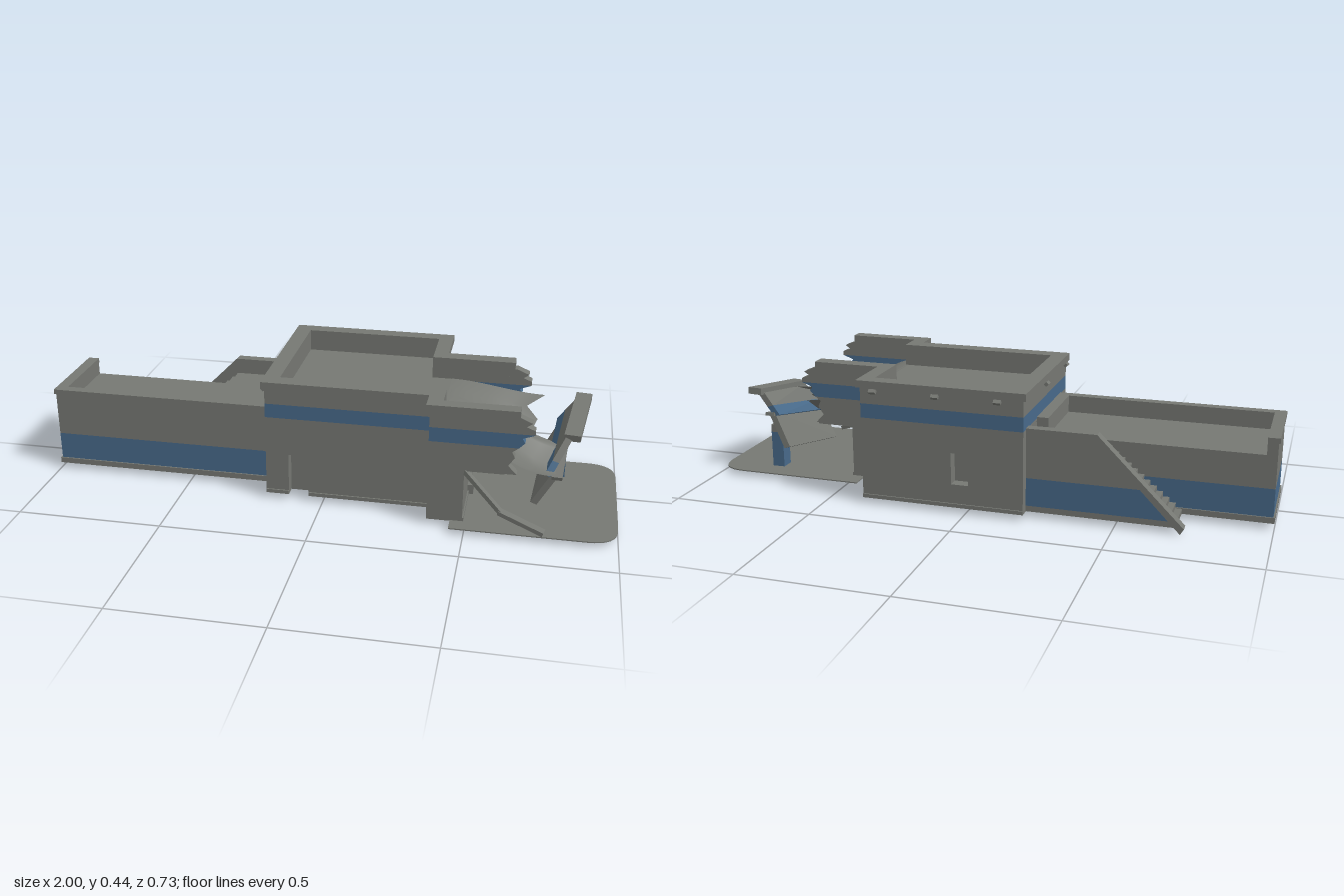
import * as THREE from 'three';
import { ConvexGeometry } from 'three/addons/geometries/ConvexGeometry.js';

export function createModel() {
  const model = new THREE.Group();
  model.name = 'ruinedBuilding';
  const grey = new THREE.MeshStandardMaterial({ color: 0x767873 });
  grey.name = 'concrete grey';
  const blue = new THREE.MeshStandardMaterial({ color: 0x486a8a });
  blue.name = 'painted blue';
  const sheetGrey = grey.clone();
  sheetGrey.name = 'concrete grey two sided';
  sheetGrey.side = THREE.DoubleSide;

  const add = (name, geo, mat = grey) => {
    const m = new THREE.Mesh(geo, mat);
    m.name = name;
    model.add(m);
    return m;
  };
  const box = (name, x0, x1, y0, y1, z0, z1, mat) => {
    const m = add(name, new THREE.BoxGeometry(x1 - x0, y1 - y0, z1 - z0), mat);
    m.position.set((x0 + x1) / 2, (y0 + y1) / 2, (z0 + z1) / 2);
    return m;
  };
  const extrude = (pts, depth) => new THREE.ExtrudeGeometry(
    new THREE.Shape(pts.map(p => new THREE.Vector2(p[0], p[1]))), { depth, bevelEnabled: false });
  // Footprint of [x, z] points raised from y0 to y1
  const prism = (name, pts, y0, y1, mat) =>
    add(name, extrude(pts.map(([x, z]) => [x, -z]), y1 - y0).rotateX(-Math.PI / 2).translate(0, y0, 0), mat);
  // Upright outline of [x, y] points spanning z0 to z1
  const upright = (name, pts, z0, z1, mat) => add(name, extrude(pts, z1 - z0).translate(0, 0, z0), mat);
  const V = (x, y, z) => new THREE.Vector3(x, y, z);
  // Slab between four corners, thickened along an offset
  const slab = (name, corners, off, mat) =>
    add(name, new ConvexGeometry([...corners, ...corners.map(c => c.clone().add(off))]), mat);

  // ---- Main block: solid layers, with door recesses as notches in the footprint
  const footprint = (east, frontDoor, backDoor) => [
    [-0.2, -0.34],
    ...(backDoor ? [[-0.01, -0.34], [-0.01, -0.3], [0.05, -0.3], [0.05, -0.34]] : []),
    [0.37, -0.34], [0.37, -0.15], [east, -0.15], [east, 0.305], [0.37, 0.305], [0.37, 0.225],
    ...(frontDoor ? [[-0.05, 0.225], [-0.05, 0.185], [-0.12, 0.185], [-0.12, 0.225]] : []),
    [-0.2, 0.225]];
  prism('groundWall', footprint(0.49, true, false), 0.018, 0.1);
  prism('doorWall', footprint(0.49, true, true), 0.1, 0.17);
  prism('middleWall', footprint(0.49, false, true), 0.17, 0.21);
  prism('upperWall', footprint(0.41, false, false), 0.21, 0.305);
  prism('paintedBand', footprint(0.41, false, false), 0.305, 0.355, blue);
  prism('roof', footprint(0.41, false, false), 0.355, 0.36);

  // Parapet and overhanging coping, open at the broken east end
  const ring = (g, backEnd, frontEnd) => [
    [-0.2 - g, -0.34 - g], [0.37 + g, -0.34 - g], [0.37 + g, -0.15 - g], [backEnd, -0.15 - g],
    [backEnd, -0.11], [0.33, -0.11], [0.33, -0.3], [-0.155, -0.3], [-0.155, 0.18], [0.41, 0.18],
    [0.41, 0.27], [frontEnd, 0.27], [frontEnd, 0.305 + g], [0.37 - g, 0.305 + g],
    [0.37 - g, 0.225 + g], [-0.2 - g, 0.225 + g]];
  prism('parapet', ring(0, 0.6, 0.64), 0.36, 0.412);
  prism('coping', ring(0.011, 0.62, 0.66), 0.412, 0.437);

  // Base trim around the walls
  box('frontBaseTrim', -0.2, -0.12, 0.02, 0.033, 0.22, 0.23);
  box('frontBaseTrim', -0.05, 0.37, 0.02, 0.033, 0.22, 0.23);
  box('backBaseTrim', -0.2, 0.37, 0.02, 0.033, -0.345, -0.335);
  box('eastBaseTrim', 0.485, 0.495, 0.02, 0.033, -0.15, 0.305);
  box('eastStep', 0.49, 0.51, 0.02, 0.055, 0.035, 0.105);

  // Diamond shaped drains below the coping
  [[-0.115, -0.352], [0.1, -0.352], [0.32, -0.352]].forEach(([x, z]) => {
    const d = add('backDrain', new THREE.BoxGeometry(0.025, 0.013, 0.013));
    d.position.set(x, 0.402, z);
    d.rotation.x = Math.PI / 4;
  });
  [-0.075, 0.2].forEach(z => {
    const d = add('sideDrain', new THREE.BoxGeometry(0.013, 0.013, 0.025));
    d.position.set(-0.208, 0.402, z);
    d.rotation.z = Math.PI / 4;
  });

  // ---- Broken overhang walls: ragged ends, split by paint colour
  const ragged = (side, z0, z1, s) => {
    upright(side + 'BrokenLowerWall', [[0.4, 0.21], [0.66 + s, 0.21], [0.63 + s, 0.24],
      [0.65 + s, 0.27], [0.64 + s, 0.29], [0.66 + s, 0.305], [0.4, 0.305]], z0, z1);
    upright(side + 'BrokenBand', [[0.4, 0.305], [0.66 + s, 0.305], [0.68 + s, 0.325],
      [0.67 + s, 0.34], [0.71 + s, 0.355], [0.4, 0.355]], z0, z1, blue);
    upright(side + 'BrokenUpperWall', [[0.4, 0.355], [0.71 + s, 0.355], [0.71 + s, 0.37],
      [0.68 + s, 0.382], [0.70 + s, 0.395], [0.66 + s, 0.412], [0.4, 0.412]], z0, z1);
  };
  ragged('front', 0.271, 0.305, 0);
  ragged('back', -0.15, -0.111, -0.03);
  box('overhangFloor', 0.48, 0.62, 0.205, 0.215, -0.15, 0.3);

  // Roof sheet sagging towards the ragged edge: [z, edge x, edge y]
  const edge = [[0.27, 0.75, 0.2], [0.22, 0.765, 0.175], [0.18, 0.785, 0.165], [0.12, 0.78, 0.17],
    [0.08, 0.81, 0.21], [0.05, 0.76, 0.225], [0.03, 0.69, 0.24], [-0.02, 0.71, 0.27],
    [-0.06, 0.67, 0.3], [-0.11, 0.73, 0.325]];
  const cols = edge.length, steps = 10;
  const pos = [], idx = [];
  for (let i = 0; i < cols; i++) {
    const [z, xe, ye] = edge[i];
    for (let j = 0; j <= steps; j++) {
      const t = j / steps, s = t * t * (3 - 2 * t);
      pos.push(0.4 + (xe - 0.4) * t, 0.361 + (ye - 0.361) * s, z);
      if (i < cols - 1 && j < steps) {
        const a = i * (steps + 1) + j, b = a + steps + 1;
        idx.push(a, a + 1, b, b, a + 1, b + 1);
      }
    }
  }
  const sag = new THREE.BufferGeometry();
  sag.setAttribute('position', new THREE.Float32BufferAttribute(pos, 3));
  sag.setIndex(idx);
  sag.computeVertexNormals();
  add('saggingRoof', sag, sheetGrey);

  // ---- Fallen end wall: two leaning panels, each with a coping beam
  const lean = V(-0.022, 0.008, 0);
  const tb = V(0.865, 0.305, -0.15), tf = V(0.83, 0.265, 0.12);
  const bb = V(0.8, 0.215, -0.15), bf = V(0.77, 0.15, 0.18);
  const mb = tb.clone().lerp(bb, 0.62), mf = tf.clone().lerp(bf, 0.62);
  slab('fallenUpperPanel', [tb, tf, mf, mb], lean);
  slab('fallenPaintedBand', [mb, mf, bf, bb], lean, blue);
  slab('fallenLowerPanel', [V(0.82, 0.225, -0.15), V(0.79, 0.148, 0.18),
    V(0.73, 0.04, 0.175), V(0.76, 0.1, -0.16)], lean);
  const beam = (name, a, b, w, h) => {
    const m = add(name, new THREE.BoxGeometry(w, h, a.distanceTo(b)));
    m.position.copy(a).add(b).multiplyScalar(0.5);
    m.lookAt(b);
    return m;
  };
  beam('fallenCoping', V(0.865, 0.31, -0.165), V(0.83, 0.272, 0.122), 0.055, 0.024);
  beam('fallenLedge', V(0.815, 0.224, -0.155), V(0.79, 0.15, 0.188), 0.035, 0.012);
  beam('fallenFrontBeam', V(0.49, 0.205, 0.295), V(0.62, 0.075, 0.325), 0.02, 0.014);
  beam('fallenFrontBeam', V(0.61, 0.08, 0.322), V(0.76, 0.03, 0.35), 0.03, 0.014);

  // Leftover pillar
  box('pillar', 0.775, 0.82, 0.02, 0.152, -0.14, -0.09, blue);
  box('pillarTop', 0.775, 0.82, 0.152, 0.18, -0.14, -0.09);

  // ---- Rounded pavement
  const pave = new THREE.Shape();
  pave.moveTo(0.45, 0.22);
  pave.lineTo(0.9, 0.22);
  pave.quadraticCurveTo(1, 0.22, 1, 0.12);
  pave.lineTo(1, -0.26);
  pave.quadraticCurveTo(1, -0.36, 0.9, -0.36);
  pave.lineTo(0.45, -0.36);
  add('pavement', new THREE.ExtrudeGeometry(pave, { depth: 0.004, bevelEnabled: false, curveSegments: 8 })
    .rotateX(-Math.PI / 2).translate(0, 0.017, 0));

  // ---- Long low wing: hollow walls, roof, parapet on three sides
  const wingWalls = (name, y0, y1, g, mat) => {
    box(name, -1 + 0.005 - g, -0.2, y0, y1, 0.115, 0.145 + g, mat);
    box(name, -0.995 - g, -0.2, y0, y1, -0.17 - g, -0.14, mat);
    box(name, -0.995 - g, -0.96, y0, y1, -0.14, 0.115, mat);
  };
  wingWalls('wingBaseTrim', 0.02, 0.04, 0.005);
  wingWalls('wingPaintedBand', 0.04, 0.137, 0, blue);
  wingWalls('wingWall', 0.137, 0.25, 0);
  box('wingRoof', -0.965, -0.2, 0.238, 0.25, -0.15, 0.12);
  const wingRing = g => [[-0.995 - g, -0.17 - g], [-0.96, -0.17 - g], [-0.96, 0.115], [-0.24, 0.115],
    [-0.24, -0.17 - g], [-0.2, -0.17 - g], [-0.2, 0.145 + g], [-0.995 - g, 0.145 + g]];
  prism('wingParapet', wingRing(0), 0.25, 0.293);
  prism('wingCoping', wingRing(0.005), 0.293, 0.31);

  // ---- Outside stair with a sloping side wall
  upright('stairPaintedWall', [[-0.2, 0.04], [-0.69, 0.04], [-0.59, 0.137], [-0.2, 0.137]], -0.305, -0.28, blue);
  upright('stairBaseWall', [[-0.2, 0.02], [-0.71, 0.02], [-0.69, 0.04], [-0.2, 0.04]], -0.305, -0.28);
  upright('stairUpperWall', [[-0.2, 0.137], [-0.59, 0.137], [-0.43, 0.293], [-0.2, 0.293]], -0.305, -0.28);
  upright('stairRail', [[-0.2, 0.293], [-0.43, 0.293], [-0.715, 0.0], [-0.727, 0.02],
    [-0.437, 0.31], [-0.2, 0.31]], -0.31, -0.275);
  box('stairLanding', -0.44, -0.2, 0.238, 0.25, -0.28, -0.17);
  const count = 12;
  for (let i = 0; i < count; i++) {
    const x = -0.7 + i * 0.26 / count, y = 0.02 + (i + 1) * 0.23 / (count + 1);
    box('stairStep', x, x + 0.024, y - 0.018, y, -0.28, -0.17);
  }
  return model;
}
